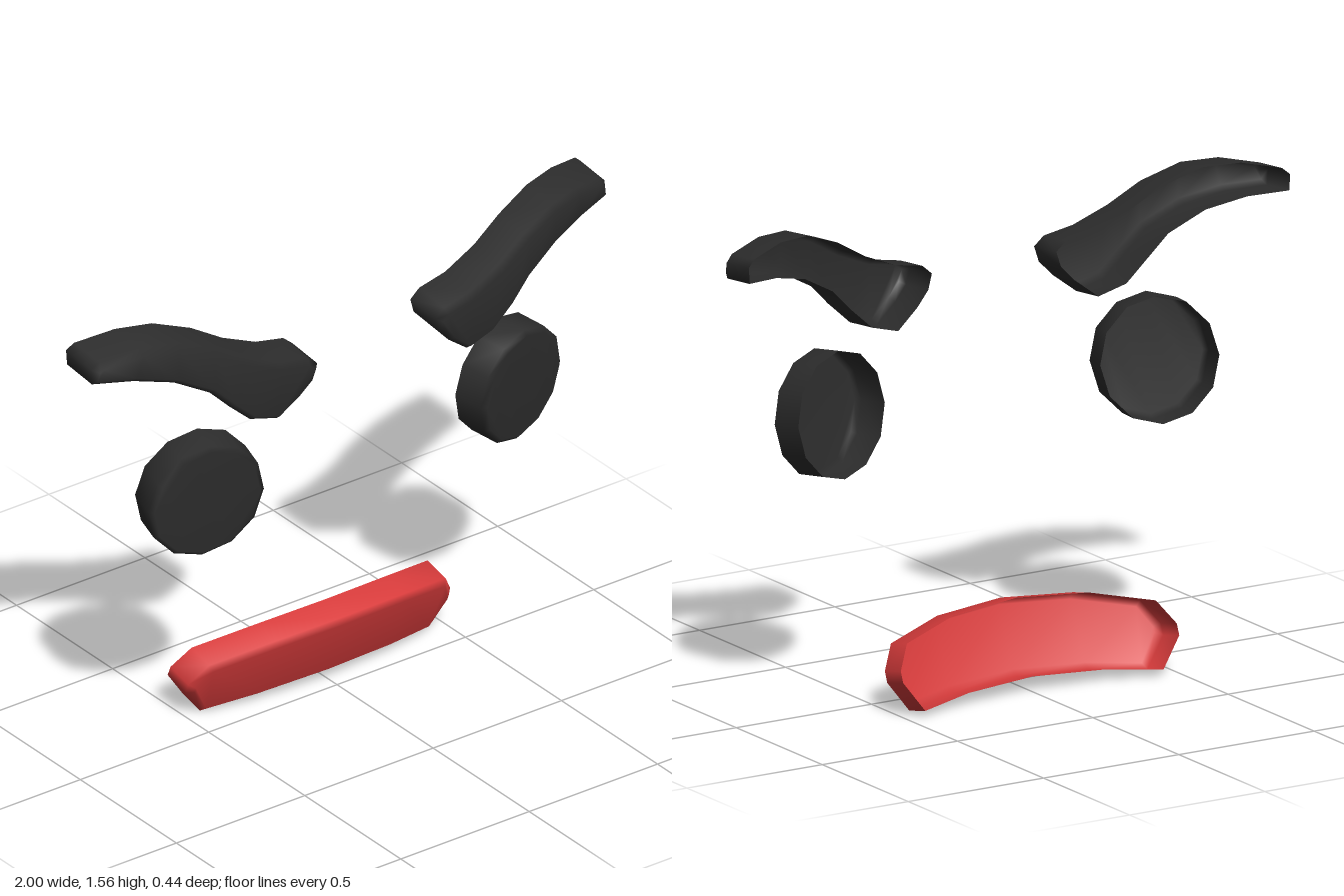
import * as THREE from 'three';

const black = new THREE.MeshStandardMaterial({ color: 0x2d2d2d, side: THREE.DoubleSide });
black.name = 'soft black';
const red = new THREE.MeshStandardMaterial({ color: 0xd93c3c, side: THREE.DoubleSide });
red.name = 'lip red';

// Hollow shell, open at the back: paired upper and lower outline points
// (x ascending), a front height rule, and the direction the wall runs back.
function shell(name, material, { upper, lower, frontZ, depth, bevel }, side = 1) {
  const loop = [...upper, ...[...lower].reverse()];
  const n = loop.length;
  const pos = [], index = [];
  const put = (x, y, t) => pos.push(
    side * (x + depth[0] * t), y + depth[1] * t, frontZ(x, y) + depth[2] * t);
  const tri = (a, b, c) => (side > 0 ? index.push(a, b, c) : index.push(a, c, b));

  // Rings: back rim, start of bevel, inset front edge
  for (const [t, inset] of [[1, 0], [bevel * 7, 0], [0, bevel]]) {
    loop.forEach(([x, y], i) => {
      const p = loop[(i + n - 1) % n], q = loop[(i + 1) % n];
      const tx = q[0] - p[0], ty = q[1] - p[1], len = Math.hypot(tx, ty);
      put(x + (ty / len) * inset, y - (tx / len) * inset, t);
    });
  }
  // Wall and bevel
  for (let r = 0; r < 2; r++) {
    for (let i = 0; i < n; i++) {
      const j = (i + 1) % n;
      const a = r * n + i, b = r * n + j;
      tri(a, a + n, b + n);
      tri(a, b + n, b);
    }
  }
  // Front face as a strip between the upper and lower edges
  for (let i = 0; i < n / 2 - 1; i++) {
    const p = 2 * n + i, q = 3 * n - 1 - i;
    tri(p, q, q - 1);
    tri(p, q - 1, p + 1);
  }
  const geo = new THREE.BufferGeometry();
  geo.setAttribute('position', new THREE.Float32BufferAttribute(pos, 3));
  geo.setIndex(index);
  geo.computeVertexNormals();
  const mesh = new THREE.Mesh(geo, material);
  mesh.name = name;
  return mesh;
}

const eyePoint = (deg) => {
  const a = THREE.MathUtils.degToRad(deg);
  return [0.615 + 0.19 * Math.cos(a), 0.937 + 0.203 * Math.sin(a)];
};
const steps = [0, 1, 2, 3, 4, 5];
const eye = {
  upper: steps.map((i) => eyePoint(180 - 30 * i)),
  lower: steps.map((i) => eyePoint(210 + 30 * i)),
  frontZ: (x, y) => 0.148 - 0.25 * (x - 0.615) + 0.1 * (y - 0.937),
  depth: [-0.027, 0.012, -0.112],
  bevel: 0.016,
};

const brow = {
  upper: [[0.23, 1.33], [0.265, 1.36], [0.37, 1.38], [0.49, 1.43], [0.6, 1.495],
    [0.73, 1.543], [0.85, 1.548], [0.975, 1.522], [1, 1.5]],
  lower: [[0.245, 1.28], [0.29, 1.232], [0.37, 1.17], [0.47, 1.198], [0.55, 1.27],
    [0.62, 1.34], [0.74, 1.405], [0.87, 1.437], [0.997, 1.448]],
  frontZ: (x, y) => 0.222 - 0.25 * (x - 0.23) ** 2 + 0.15 * Math.min(y - 1.3, 0),
  depth: [0, 0.015, -0.148],
  bevel: 0.018,
};

const mouth = {
  upper: [[-0.51, 0.135], [-0.46, 0.207], [-0.25, 0.25], [0, 0.265],
    [0.25, 0.25], [0.46, 0.207], [0.51, 0.135]],
  lower: [[-0.51, 0.1], [-0.44, 0.004], [-0.25, 0.022], [0, 0.032],
    [0.25, 0.022], [0.44, 0.004], [0.51, 0.1]],
  frontZ: (x, y) => -0.04 + 0.4 * (y - 0.035) - 0.3 * x * x,
  depth: [0, 0.025, -0.108],
  bevel: 0.02,
};

export function createModel() {
  const group = new THREE.Group();
  group.name = 'face';
  for (const [label, side] of [['left', 1], ['right', -1]]) {
    group.add(shell(label + 'Eye', black, eye, side));
    group.add(shell(label + 'Eyebrow', black, brow, side));
  }
  group.add(shell('mouth', red, mouth));
  return group;
}
